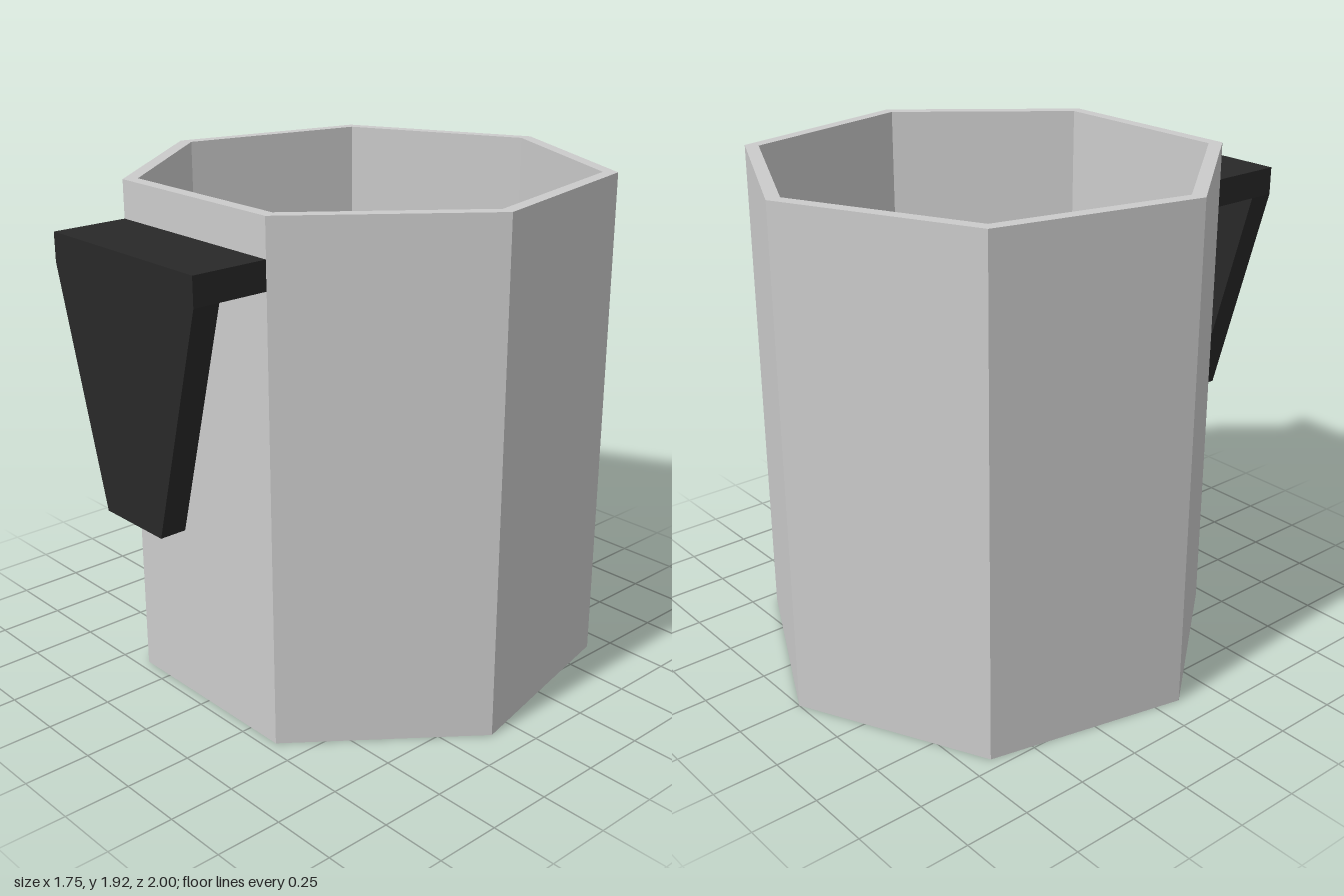
import * as THREE from 'three';

const HEIGHT = 1.92, OUTER = 0.9, INNER = 0.846, FLOOR = 0.06;
const CENTRE_Z = -0.1;
const FRONT_Z = CENTRE_Z + OUTER * Math.cos(Math.PI / 7); // flat front side of the cup

export function createModel() {
  const group = new THREE.Group();
  const grey = new THREE.MeshStandardMaterial({ color: 0xcccccc, flatShading: true });
  const black = new THREE.MeshStandardMaterial({ color: 0x282828, flatShading: true });

  // Seven-sided cup with a thin wall, one corner at the back
  const profile = [
    [0, 0], [OUTER, 0], [OUTER, HEIGHT], [INNER, HEIGHT], [INNER, FLOOR], [0, FLOOR],
  ].map(([r, y]) => new THREE.Vector2(r, y));
  const cup = new THREE.Mesh(new THREE.LatheGeometry(profile, 7, Math.PI), grey);
  cup.name = 'cup';
  cup.position.z = CENTRE_Z;
  group.add(cup);

  // Handle: a bar out from the wall and a tapering plate hanging from it
  const handle = new THREE.Group();
  handle.name = 'handle';
  const top = 1.78, under = 1.675, bottom = 0.82;
  const halfWidth = 0.39, tipHalf = 0.157, plateBack = 0.9, plateFront = 1;

  const barDepth = plateBack - FRONT_Z;
  const bar = new THREE.Mesh(
    new THREE.BoxGeometry(halfWidth * 2, top - under, barDepth), black);
  bar.name = 'handleBar';
  bar.position.set(0, (top + under) / 2, FRONT_Z + barDepth / 2);

  const outline = new THREE.Shape([
    [-tipHalf, bottom], [tipHalf, bottom], [halfWidth, under],
    [halfWidth, top], [-halfWidth, top], [-halfWidth, under],
  ].map(([x, y]) => new THREE.Vector2(x, y)));
  const plate = new THREE.Mesh(
    new THREE.ExtrudeGeometry(outline, { depth: plateFront - plateBack, bevelEnabled: false }), black);
  plate.name = 'handlePlate';
  plate.position.z = plateBack;

  handle.add(bar, plate);
  group.add(handle);
  return group;
}
